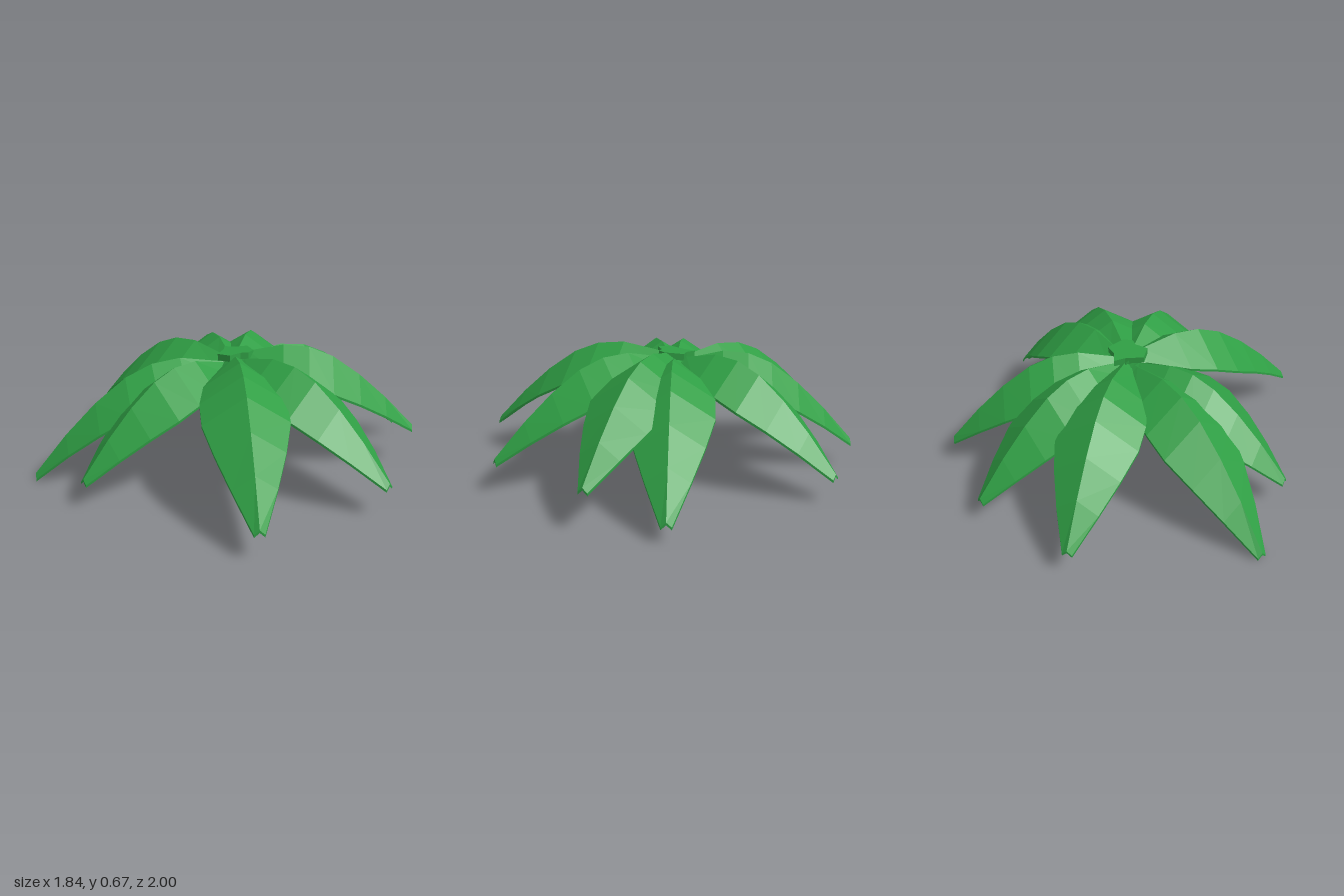
import * as THREE from 'three';

const leafGreen = new THREE.MeshStandardMaterial({ color: 0x2f9e44 });
leafGreen.name = 'leafGreen';
const nutBrown = new THREE.MeshStandardMaterial({ color: 0x835333 });
nutBrown.name = 'nutBrown';

const CENTRE_X = 0.02;
const THICKNESS = 0.013;

// Leaf stations: fraction along the leaf, ridge height, half width
const STATIONS = [
  [-0.06, 0.61, 0.03], [0.08, 0.62, 0.07], [0.27, 0.655, 0.185], [0.41, 0.64, 0.215],
  [0.54, 0.585, 0.214], [0.69, 0.475, 0.168], [0.84, 0.335, 0.105], [1, 0.16, 0.025],
];

// Leaves: tip x, tip z, ridge height at the tip, lift of the inner half
const LEAVES = [
  [0.045, 1.0, 0.18, -0.02], [0.655, 0.745, 0.22, 0.01], [0.91, 0.455, 0.105, -0.018],
  [0.865, -0.465, 0.15, -0.018], [0.48, -0.84, 0.15, -0.035], [-0.075, -1.0, 0.155, -0.028],
  [-0.905, -0.57, 0.037, -0.045], [-0.905, -0.14, 0.155, -0.045], [-0.67, 0.805, 0.16, 0.002],
];

// Nuts: angle about the centre, height
const NUTS = [[1.0, 0.465], [2.57, 0.485], [4.15, 0.485], [5.72, 0.475]];

// Roof-shaped blade running along +z, with faceted faces
function leafGeometry(length, tipY, lift) {
  const rings = STATIONS.map(([f, y, w]) => {
    const ridge = y + lift * (1 - f) + (tipY - 0.16) * f * Math.abs(f);
    const edge = ridge - w * 0.61 - 0.008;
    const z = f * length;
    return [
      [w, edge, z], [0, ridge, z], [-w, edge, z],
      [-w, edge - THICKNESS, z], [0, ridge - THICKNESS, z], [w, edge - THICKNESS, z],
    ];
  });
  const pos = [];
  const quad = (a, b, c, d) => pos.push(...a, ...b, ...c, ...a, ...c, ...d);
  for (let i = 0; i < rings.length - 1; i++) {
    const r = rings[i], n = rings[i + 1];
    for (let j = 0; j < 6; j++) {
      const k = (j + 1) % 6;
      quad(r[j], r[k], n[k], n[j]);
    }
  }
  // End caps
  const tip = rings[rings.length - 1], root = rings[0];
  quad(tip[0], tip[1], tip[4], tip[5]);
  quad(tip[1], tip[2], tip[3], tip[4]);
  quad(root[5], root[4], root[1], root[0]);
  quad(root[4], root[3], root[2], root[1]);
  const geometry = new THREE.BufferGeometry();
  geometry.setAttribute('position', new THREE.Float32BufferAttribute(pos, 3));
  geometry.computeVertexNormals();
  return geometry;
}

// Irregular plug where the leaf roots meet
function hubGeometry() {
  const points = [
    [0.11, 0], [0.06, 0.04], [0.035, 0.1], [-0.01, 0.06], [-0.1, 0.02],
    [-0.09, -0.06], [-0.02, -0.07], [0.01, -0.1], [0.06, -0.09],
  ].map(([x, y]) => new THREE.Vector2(x, y));
  return new THREE.ExtrudeGeometry(new THREE.Shape(points), { depth: 0.035, bevelEnabled: false });
}

// Six-sided nut with a broad flat bottom and a pointed top
function nutGeometry() {
  const profile = [[0, -0.06], [0.048, -0.06], [0.06, -0.025], [0.054, 0.03], [0.025, 0.065], [0, 0.07]]
    .map(([r, y]) => new THREE.Vector2(r, y));
  const geometry = new THREE.LatheGeometry(profile, 6).toNonIndexed();
  geometry.computeVertexNormals();
  return geometry;
}

export function createModel() {
  const model = new THREE.Group();
  model.name = 'palmCrown';

  // Ring of drooping leaves
  const leaves = new THREE.Group();
  leaves.name = 'leaves';
  LEAVES.forEach(([x, z, tipY, lift], i) => {
    const dx = x - CENTRE_X;
    const leaf = new THREE.Mesh(leafGeometry(Math.hypot(dx, z), tipY, lift), leafGreen);
    leaf.name = `leaf${i + 1}`;
    leaf.position.x = CENTRE_X;
    leaf.rotation.y = Math.atan2(dx, z);
    leaves.add(leaf);
  });
  model.add(leaves);

  // Slightly tilted hub
  const hub = new THREE.Mesh(hubGeometry(), leafGreen);
  hub.name = 'hub';
  hub.position.set(CENTRE_X, 0.595, 0);
  hub.rotation.x = -Math.PI / 2 - 0.08;
  model.add(hub);

  // Cluster of nuts hanging under the centre
  const nuts = new THREE.Group();
  nuts.name = 'nuts';
  const shape = nutGeometry();
  NUTS.forEach(([angle, y], i) => {
    const pivot = new THREE.Group();
    pivot.name = `nut${i + 1}`;
    pivot.position.set(CENTRE_X, y, 0);
    pivot.rotation.y = angle;
    const nut = new THREE.Mesh(shape, nutBrown);
    nut.name = 'nutBody';
    nut.position.z = 0.105;
    nut.rotation.x = -0.12;
    pivot.add(nut);
    nuts.add(pivot);
  });
  model.add(nuts);
  return model;
}
